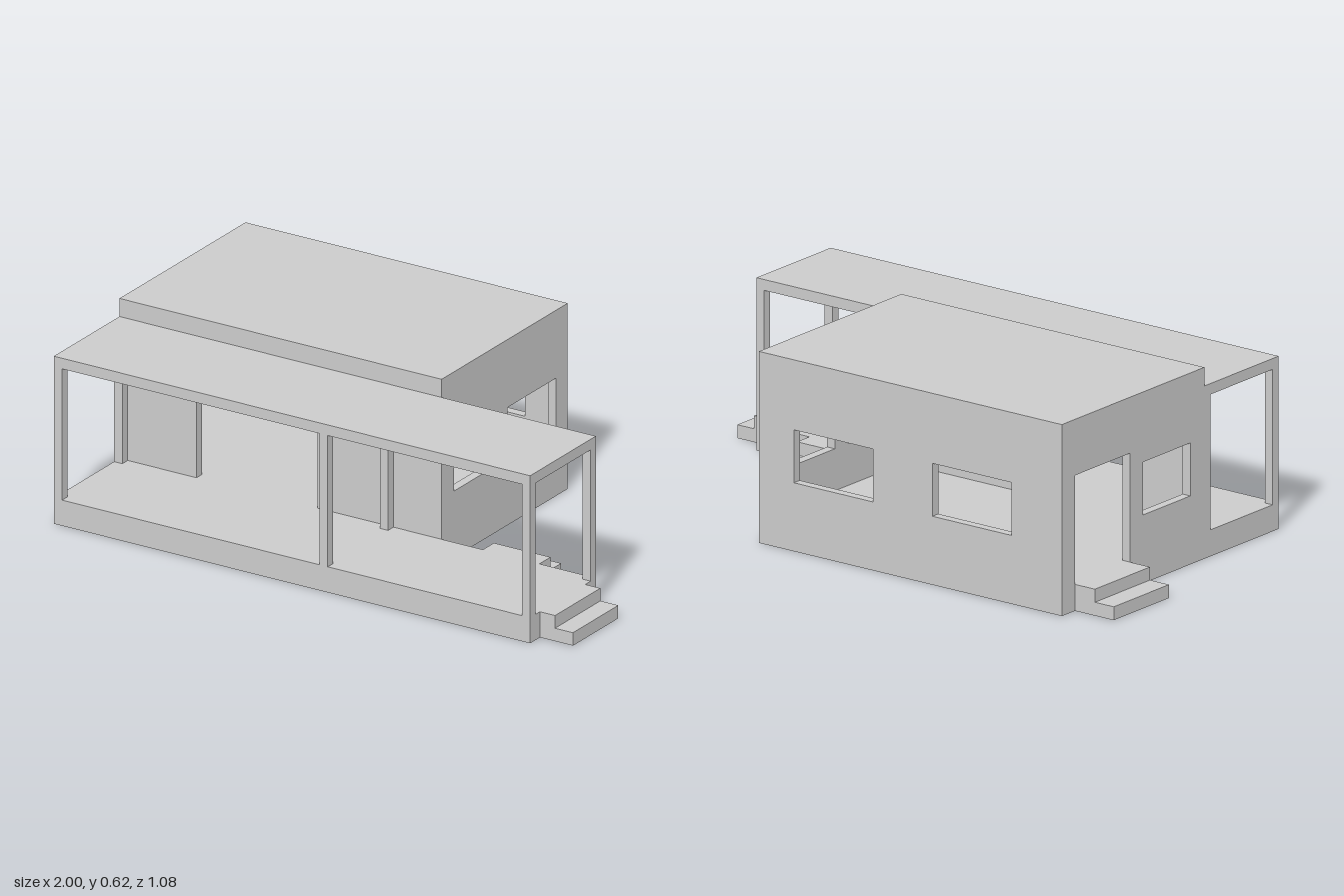
import * as THREE from 'three';

const T = 0.03; // wall and post thickness
const FLOOR = 0.085;
const WALL_TOP = 0.585;
const HOUSE = { x0: -0.85, x1: 0.32, z0: -0.54, z1: 0.17 };
const PORCH = { x0: -0.85, x1: 0.88, z0: 0.17, z1: 0.54 };

export function createModel() {
  const group = new THREE.Group();
  const material = new THREE.MeshStandardMaterial({ color: 0xcccccc, flatShading: true });

  const add = (name, geometry) => {
    const mesh = new THREE.Mesh(geometry, material);
    mesh.name = name;
    group.add(mesh);
    return mesh;
  };

  // Box given by its two extents on each axis
  const box = (name, x0, x1, y0, y1, z0, z1) => {
    const mesh = add(name, new THREE.BoxGeometry(x1 - x0, y1 - y0, z1 - z0));
    mesh.position.set((x0 + x1) / 2, (y0 + y1) / 2, (z0 + z1) / 2);
    return mesh;
  };

  // Upright wall along u with rectangular openings [u0, u1, y0, y1]
  const wall = (name, u0, u1, openings) => {
    const rect = (target, a, b, c, d) =>
      target.moveTo(a, c).lineTo(b, c).lineTo(b, d).lineTo(a, d).closePath();
    const shape = rect(new THREE.Shape(), u0, u1, 0, WALL_TOP);
    for (const [a, b, c, d] of openings) shape.holes.push(rect(new THREE.Path(), a, b, c, d));
    return add(name, new THREE.ExtrudeGeometry(shape, { depth: T, bevelEnabled: false }));
  };

  const SILL = 0.22, HEAD = 0.39, DOOR_HEAD = 0.435;
  const { x0, x1, z0, z1 } = HOUSE;

  // House walls facing front and back
  wall('frontWall', x0, x1, [[-0.57, -0.13, FLOOR, DOOR_HEAD]]).position.z = z1 - T;
  wall('backWall', x0, x1, [
    [-0.655, -0.35, SILL, HEAD],
    [-0.12, 0.185, SILL, HEAD],
  ]).position.z = z0;

  // Side walls: turned so that u runs along -z
  const sideWall = (name, x, openings) => {
    const mesh = wall(name, -(z1 - T), -(z0 + T), openings);
    mesh.rotation.y = Math.PI / 2;
    mesh.position.x = x;
  };
  sideWall('leftWall', x1 - T, [
    [-0.1, 0.135, SILL, HEAD],
    [0.2, 0.475, SILL, HEAD],
  ]);
  sideWall('rightWall', x0, [
    [-0.1, 0.135, SILL, HEAD],
    [0.2, 0.475, FLOOR, DOOR_HEAD],
  ]);

  // House floor and roof
  box('houseFloor', x0 + T, x1 - T, 0, FLOOR, z0 + T, z1 - T);
  box('houseRoof', x0, x1, WALL_TOP, 0.615, z0, z1);

  // Porch deck, roof and posts
  box('porchDeck', PORCH.x0, PORCH.x1, 0, FLOOR, PORCH.z0, PORCH.z1);
  box('porchRoof', PORCH.x0, PORCH.x1, 0.52, 0.555, PORCH.z0, PORCH.z1);
  for (const x of [PORCH.x0, 0.115, PORCH.x1 - T]) {
    for (const z of [PORCH.z0, PORCH.z1 - T]) {
      box('porchPost', x, x + T, FLOOR, 0.52, z, z + T);
    }
  }

  // Three flights of two steps
  const LOW = 0.043;
  box('porchEndUpperStep', 0.88, 0.935, 0, FLOOR, 0.23, 0.485);
  box('porchEndLowerStep', 0.935, 1, 0, LOW, 0.23, 0.485);
  box('porchBackUpperStep', 0.47, 0.675, 0, FLOOR, 0.108, 0.17);
  box('porchBackLowerStep', 0.47, 0.675, 0, LOW, 0.047, 0.108);
  box('sideDoorUpperStep', -0.927, -0.85, 0, FLOOR, -0.475, -0.2);
  box('sideDoorLowerStep', -1, -0.927, 0, LOW, -0.475, -0.2);

  return group;
}
